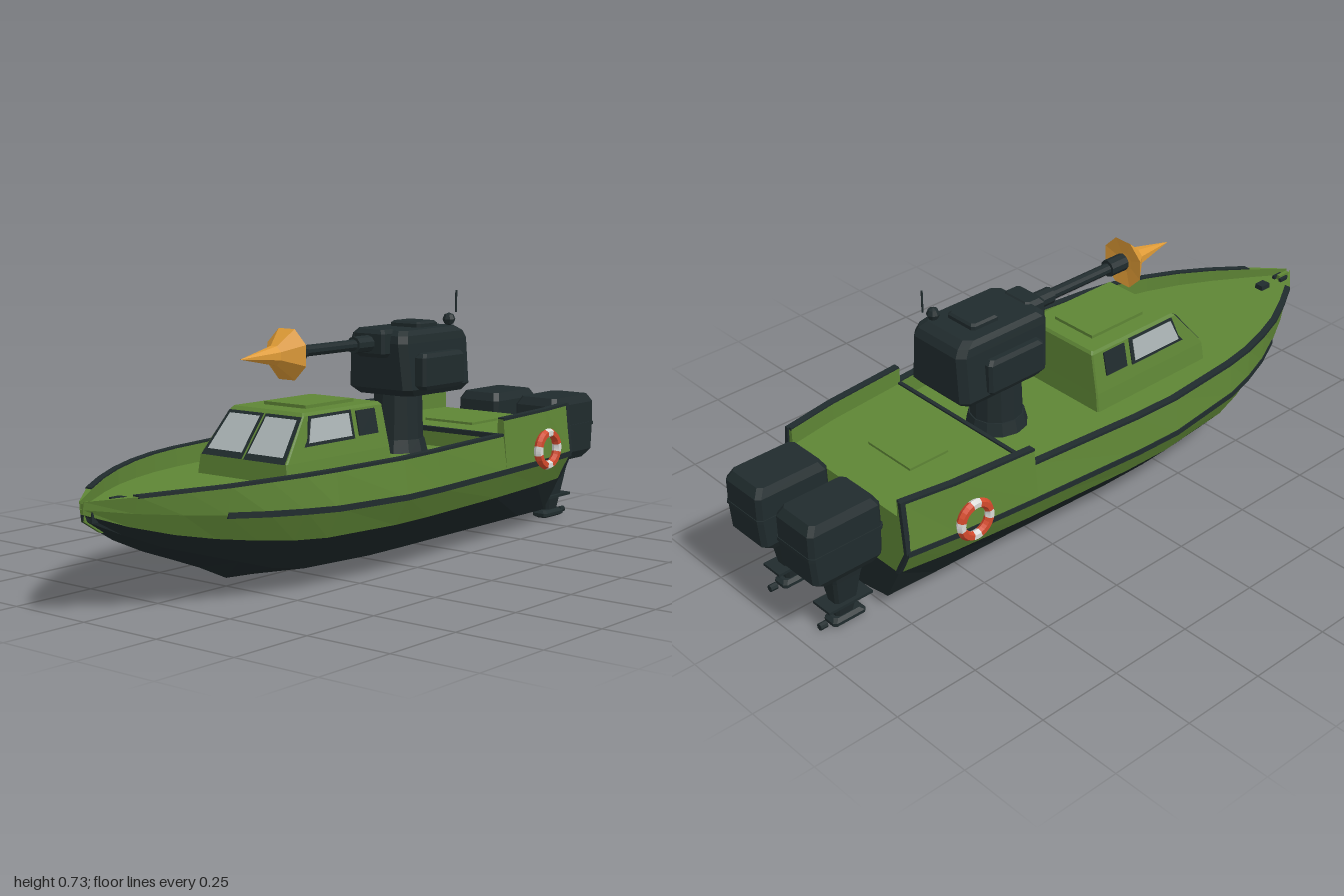
import * as THREE from 'three';

const mat = (name, color) => {
  const m = new THREE.MeshStandardMaterial({ color, flatShading: true });
  m.name = name;
  return m;
};

export function createModel() {
  const green = mat('green', 0x5e8535), dark = mat('darkTrim', 0x202b2d), black = mat('hullBottom', 0x1d2729);
  const glass = mat('glass', 0xaab3b4), orange = mat('orange', 0xdf9b36), red = mat('red', 0xd24a2c), white = mat('white', 0xd9d9d6);
  const root = new THREE.Group();
  root.name = 'gunBoat';

  function add(name, geo, material, x = 0, y = 0, z = 0, parent = root) {
    const m = new THREE.Mesh(geo, material);
    m.name = name;
    m.position.set(x, y, z);
    parent.add(m);
    return m;
  }
  const box = (name, w, h, d, material, x, y, z) => add(name, new THREE.BoxGeometry(w, h, d), material, x, y, z);
  const cyl = (name, r1, r2, h, n, material, x, y, z) => add(name, new THREE.CylinderGeometry(r1, r2, h, n), material, x, y, z);

  // Closed solid through rings of [x, y, z] points stacked along an axis
  function loft(rings, axis) {
    const [u, v] = [[1, 2], [2, 0], [0, 1]][axis];
    const flat = r => r.map(p => new THREE.Vector2(p[u], p[v]));
    if (rings.at(-1)[0][axis] < rings[0][0][axis]) rings = [...rings].reverse();
    if (rings.reduce((s, r) => s + THREE.ShapeUtils.area(flat(r)), 0) < 0) rings = rings.map(r => [...r].reverse());
    const n = rings[0].length, idx = [], last = (rings.length - 1) * n;
    for (let i = 0; i < rings.length - 1; i++) for (let j = 0; j < n; j++) {
      const a = i * n + j, b = i * n + (j + 1) % n;
      idx.push(a, b, b + n, a, b + n, a + n);
    }
    THREE.ShapeUtils.triangulateShape(flat(rings[0]), []).forEach(([a, b, c]) => idx.push(a, c, b));
    THREE.ShapeUtils.triangulateShape(flat(rings.at(-1)), []).forEach(([a, b, c]) => idx.push(last + a, last + b, last + c));
    const g = new THREE.BufferGeometry();
    g.setAttribute('position', new THREE.Float32BufferAttribute(rings.flat(2), 3));
    g.setIndex(idx);
    const out = g.toNonIndexed();
    out.computeVertexNormals();
    return out;
  }
  // Layers [y, halfWidth, z0, z1] with chamfered corners
  const stack = (layers, c) => loft(layers.map(([y, w, a, b]) => [
    [w, y, a + c], [w, y, b - c], [w - c, y, b], [-w + c, y, b],
    [-w, y, b - c], [-w, y, a + c], [-w + c, y, a], [w - c, y, a]]), 1);
  // Thin plate: polygon pushed out along one axis
  const plate = (pts, axis, from, to) => loft([from, to].map(o =>
    pts.map(p => p.map((q, k) => k === axis ? q + o : q))), axis);
  // Square strip following points along z
  const strip = (pts, w, h) => loft(pts.map(([x, y, z]) =>
    [[x - w, y - h, z], [x + w, y - h, z], [x + w, y + h, z], [x - w, y + h, z]]), 2);

  // Hull stations: z, keel y, lower chine x y, upper chine x y, rub line x y, sheer x y
  const st = [
    [-.755, .017, .16, .045, .215, .15, .257, .23, .24, .38],
    [-.6, .017, .17, .048, .24, .15, .28, .23, .266, .38],
    [-.35, .017, .18, .05, .265, .15, .303, .23, .288, .38],
    [-.35, .017, .18, .05, .265, .15, .303, .23, .288, .335],
    [0, .017, .2, .055, .288, .15, .33, .23, .318, .335],
    [.15, .017, .2, .055, .29, .15, .334, .23, .321, .333],
    [.4, .018, .185, .06, .267, .152, .307, .233, .298, .33],
    [.5, .025, .165, .075, .24, .157, .283, .237, .28, .328],
    [.6, .07, .14, .105, .205, .168, .248, .241, .25, .325],
    [.7, .108, .108, .135, .16, .182, .2, .246, .21, .32],
    [.8, .145, .075, .165, .115, .202, .145, .255, .156, .315],
    [.9, .19, .035, .207, .06, .23, .08, .265, .093, .308],
    [1, .25, .002, .255, .004, .268, .006, .28, .008, .30]];
  const mirrorRing = (half, z) => [...half, ...half.filter(p => p[0] > 0).reverse().map(([x, y]) => [-x, y])].map(([x, y]) => [x, y, z]);
  add('hullBottom', loft(st.map(s => mirrorRing([[0, s[1]], [s[2], s[3]], [s[4], s[5]]], s[0])), 2), black);
  // Topsides with bulwarks around a sunken deck, raised aft
  add('hullTopsideAndDeck', loft(st.map(s => {
    const inner = Math.max(s[8] - .02, s[8] * .75), deck = s[9] > .37 ? .332 : .28;
    return mirrorRing([[s[4], s[5]], [s[6], s[7]], [s[8], s[9]], [inner, s[9]], [inner, deck]], s[0]);
  }), 2), green);

  for (const s of [1, -1]) {
    // Dark gunwale, rub strake and transom corner trim
    const rail = st.map(p => [s * (p[8] - .009), p[9], p[0]]);
    add('foreGunwale', strip(rail.slice(3, 12), .0105, .004), dark);
    add('aftGunwale', strip(rail.slice(0, 3), .0105, .004), dark);
    add('rubStrake', strip(st.filter((p, i) => i !== 3 && p[0] < .75).map(p => [s * (p[6] - .001), p[7], p[0]]), .003, .008), dark);
    add('transomTrim', loft([[.213, .15], [.254, .23], [.238, .384]].map(([x, y]) =>
      [[-.008, -.76], [.004, -.76], [.004, -.745], [-.008, -.745]].map(([dx, z]) => [s * (x + dx), y, z])), 1), dark);

    // Lifebuoy: alternating red and white arcs
    const buoy = new THREE.Group();
    buoy.name = 'lifebuoy';
    buoy.position.set(s * .298, .27, -.565);
    buoy.rotation.y = Math.PI / 2;
    root.add(buoy);
    for (let i = 0; i < 8; i++) {
      const isRed = i % 2 === 0, arc = Math.PI / 2 * (isRed ? .68 : .32);
      const m = add(isRed ? 'buoyRed' : 'buoyWhite', new THREE.TorusGeometry(.048, .0135, 6, 4, arc), isRed ? red : white, 0, 0, 0, buoy);
      m.rotation.z = Math.floor(i / 2) * Math.PI / 2 + (isRed ? .26 : .26 + Math.PI / 2 * .68);
    }

    // Outboard engine
    const x = s * .109;
    add('engineCowl', stack([[.187, .06, -.965, -.79], [.212, .075, -.992, -.775], [.29, .075, -.998, -.771],
      [.362, .075, -.998, -.773], [.386, .064, -.982, -.788]], .012), dark, x);
    add('engineBand', stack([[.288, .078, -1, -.768], [.298, .078, -1, -.768]], .012), dark, x);
    box('engineBracket', .06, .09, .05, dark, x, .275, -.765);
    add('engineLeg', stack([[.02, .012, -.89, -.835], [.06, .02, -.895, -.828], [.15, .035, -.908, -.818], [.2, .045, -.92, -.805]], .008), dark, x);
    box('cavitationPlate', .07, .008, .14, dark, x, .07, -.86);
    add('gearCase', stack([[.003, .017, -.905, -.815], [.009, .026, -.91, -.805], [.018, .026, -.91, -.805], [.026, .016, -.9, -.815]], .008), dark, x);
    cyl('propellerHub', .01, .01, .022, 8, dark, x, .014, -.93).rotation.x = Math.PI / 2;
  }

  // Deck details
  box('deckStep', .57, .014, .012, dark, 0, .33, -.352);
  box('aftHatch', .175, .01, .13, green, 0, .334, -.54);
  box('bowCleat', .028, .022, .035, dark, 0, .284, .88);
  add('stemPost', loft([[.215, .93], [.25, .985], [.295, .985]].map(([y, z]) =>
    [[-.006, z - .03], [.006, z - .03], [.006, z + .012], [-.006, z + .012]].map(([x, d]) => [x, y, d])), 1), green);
  for (const s of [1, -1]) box('anchorRoller', .01, .045, .035, dark, s * .013, .268, .965);

  // Cabin
  add('cabin', stack([[.27, .166, .003, .437], [.333, .157, .006, .433], [.448, .132, .01, .341], [.456, .126, .016, .333]], .004), green);
  box('cabinRoofHatch', .15, .012, .2, green, 0, .459, .165);
  const wz = y => .427 - (y - .34) * .796, wx = y => .1555 - (y - .34) * .217;
  const front = (pts, a, b) => plate(pts.map(([x, y]) => [x, y, wz(y)]), 2, a, b);
  for (const s of [1, -1]) {
    add('windshieldFrame', front([[s * .004, .333], [s * .149, .333], [s * .129, .446], [s * .004, .446]], -.004, .003), dark);
    add('windshieldGlass', front([[s * .012, .349], [s * .134, .349], [s * .119, .439], [s * .012, .439]], 0, .006), glass);
    const side = (pts, a, b) => plate(pts.map(([z, y]) => [s * wx(y), y, z]), 0, s * a, s * b);
    add('sideWindowFrame', side([[.15, .37], [.355, .37], [.34, .387], [.322, .447], [.15, .447]], -.003, .003), dark);
    add('sideWindowGlass', side([[.162, .379], [.338, .379], [.315, .44], [.162, .44]], 0, .005), glass);
    add('rearWindow', side([[.05, .375], [.13, .375], [.13, .442], [.05, .442]], -.003, .004), dark);
  }

  // Gun turret
  cyl('turretBase', .078, .088, .04, 12, dark, 0, .298, -.228);
  cyl('turretPedestal', .07, .075, .17, 12, dark, 0, .375, -.228);
  add('turretBody', stack([[.448, .1, -.42, -.155], [.468, .114, -.437, -.13], [.6, .104, -.437, -.12], [.622, .1, -.425, -.125], [.636, .09, -.40, -.14]], .02), dark);
  const pod = [[.468, .014, -.345, -.175], [.48, .021, -.357, -.163], [.56, .021, -.357, -.163], [.572, .014, -.345, -.175]];
  add('leftAmmoPod', stack(pod, .008), dark, .126);
  add('rightAmmoPod', stack(pod, .008), dark, -.108);
  add('turretHatch', stack([[.63, .054, -.35, -.255], [.646, .054, -.35, -.255], [.652, .048, -.344, -.261]], .008), dark);
  add('mantlet', stack([[.56, .045, -.15, -.1], [.572, .055, -.16, -.09], [.628, .055, -.16, -.09], [.64, .045, -.15, -.1]], .008), dark);
  add('sensor', new THREE.SphereGeometry(.019, 8, 4), dark, .065, .654, -.385);
  cyl('antenna', .003, .003, .064, 6, dark, .065, .704, -.42);

  // Barrel and warhead, both along z
  const alongZ = (name, r, z0, z1) => {
    cyl(name, r, r, z1 - z0, 10, dark, 0, .6, (z0 + z1) / 2).rotation.x = Math.PI / 2;
  };
  alongZ('barrelSleeve', .024, -.1, -.025);
  alongZ('barrel', .016, -.1, .26);
  alongZ('muzzle', .025, .195, .256);
  const profile = [[0, .262], [.03, .262], [.075, .256], [.028, .308], [0, .44]].map(p => new THREE.Vector2(...p));
  const head = add('warhead', new THREE.LatheGeometry(profile, 8, Math.PI / 8), orange, 0, .597, 0);
  head.rotation.x = Math.PI / 2;
  return root;
}
